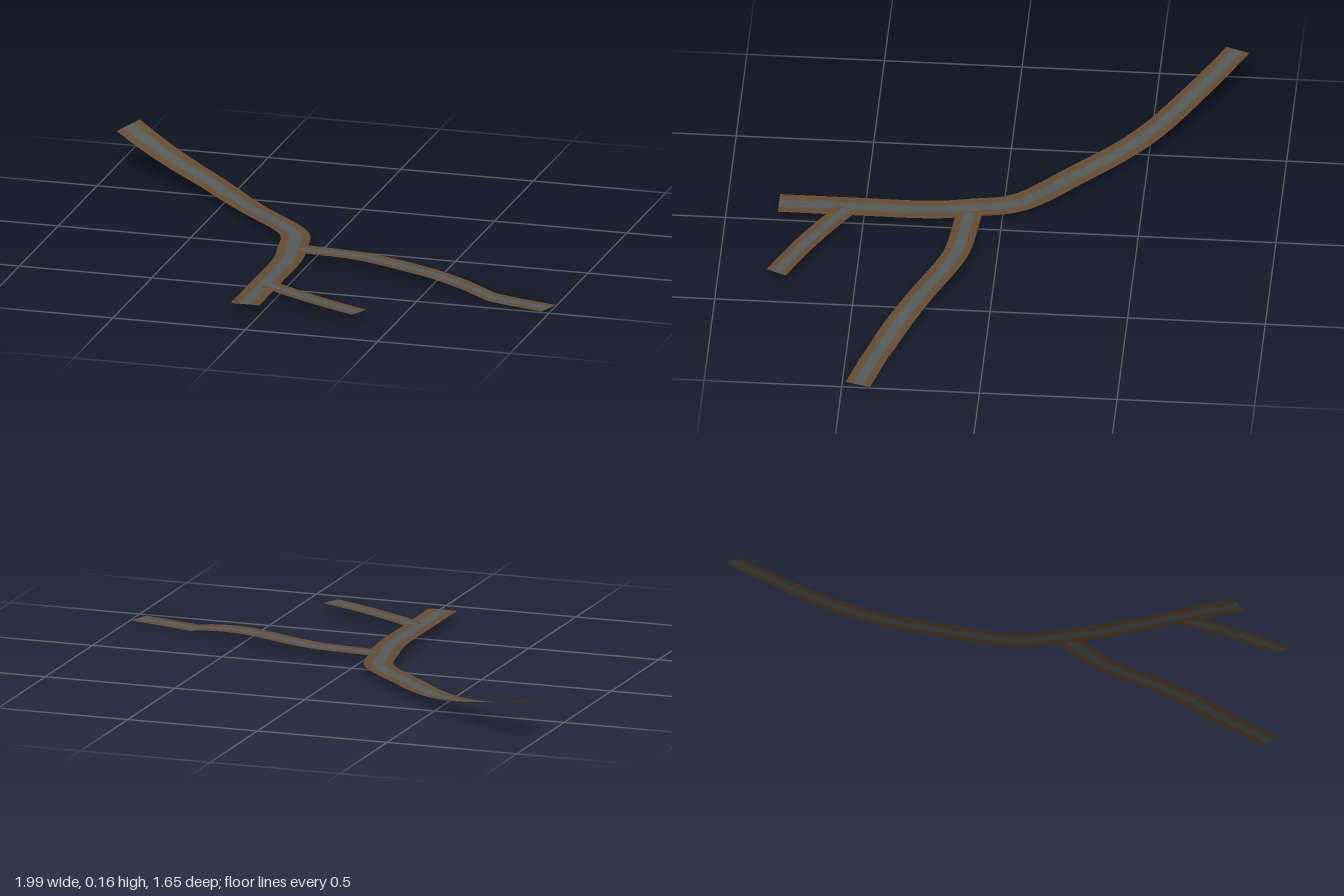
import * as THREE from 'three';

const flat = (name, color) => {
  const m = new THREE.MeshStandardMaterial({ color, side: THREE.DoubleSide });
  m.name = name;
  return m;
};

// Height of the land the tracks lie on: a hill at the back left, a dip on the +x side
function ground(x, z) {
  const hill = Math.max(0, -z - 0.29 * x - 0.4);
  const dip = Math.max(0, x - 0.43);
  return Math.max(0, 0.035 + 0.25 * hill * hill - 0.35 * dip * dip);
}

// Strip between two sideways offsets of a path, draped over the ground
function strip(curve, from, to, lift, material, name) {
  const steps = 64, pos = [], index = [];
  for (let i = 0; i <= steps; i++) {
    const p = curve.getPointAt(i / steps), t = curve.getTangentAt(i / steps);
    for (const d of [from, to]) {
      const x = p.x - t.z * d, z = p.z + t.x * d;
      pos.push(x, ground(x, z) + lift, z);
    }
    if (i < steps) {
      const a = i * 2;
      index.push(a, a + 2, a + 1, a + 1, a + 2, a + 3);
    }
  }
  const g = new THREE.BufferGeometry();
  g.setAttribute('position', new THREE.Float32BufferAttribute(pos, 3));
  g.setIndex(index);
  g.computeVertexNormals();
  // Keep the faces turned upwards
  if (g.attributes.normal.getY(0) < 0) {
    g.setIndex(index.map((_, k) => index[k - (k % 3) + 2 - (k % 3)]));
    g.computeVertexNormals();
  }
  const mesh = new THREE.Mesh(g, material);
  mesh.name = name;
  return mesh;
}

export function createModel() {
  const earth = flat('brown earth', 0x644a33);
  const blend = flat('grey brown', 0x5b5145);
  const stone = flat('slate grey', 0x555a59);

  const tracks = [
    { name: 'mainTrack', width: 0.108, lift: 0, points: [
      [-0.967, -0.787], [-0.78, -0.653], [-0.59, -0.517], [-0.5, -0.44], [-0.32, -0.26],
      [-0.15, -0.09], [-0.11, -0.02], [-0.085, 0.1], [-0.064, 0.21], [-0.057, 0.3],
      [-0.057, 0.55], [-0.057, 0.81]] },
    { name: 'longBranch', width: 0.094, lift: 0.0008, points: [
      [-0.05, 0.118], [0.05, 0.127], [0.16, 0.139], [0.24, 0.16], [0.5, 0.27],
      [0.72, 0.363], [0.8, 0.392], [0.982, 0.443]] },
    { name: 'shortBranch', width: 0.08, lift: 0.0008, points: [
      [-0.04, 0.562], [0.05, 0.62], [0.17, 0.69], [0.27, 0.741], [0.368, 0.787]] },
  ];

  const model = new THREE.Group();
  model.name = 'forkedTrack';
  for (const { name, width, lift, points } of tracks) {
    const curve = new THREE.CatmullRomCurve3(
      points.map(([x, z]) => new THREE.Vector3(x, 0, z)), false, 'centripetal');
    const h = width / 2, track = new THREE.Group();
    track.name = name;
    // Earth verges, worn transitions and the stone centre, side by side
    for (const s of [-1, 1]) {
      track.add(strip(curve, s * h * 0.5, s * h, lift, earth, 'verge'));
      track.add(strip(curve, s * h * 0.36, s * h * 0.5, lift, blend, 'wornEdge'));
    }
    track.add(strip(curve, -h * 0.36, h * 0.36, lift, stone, 'centre'));
    model.add(track);
  }
  return model;
}
